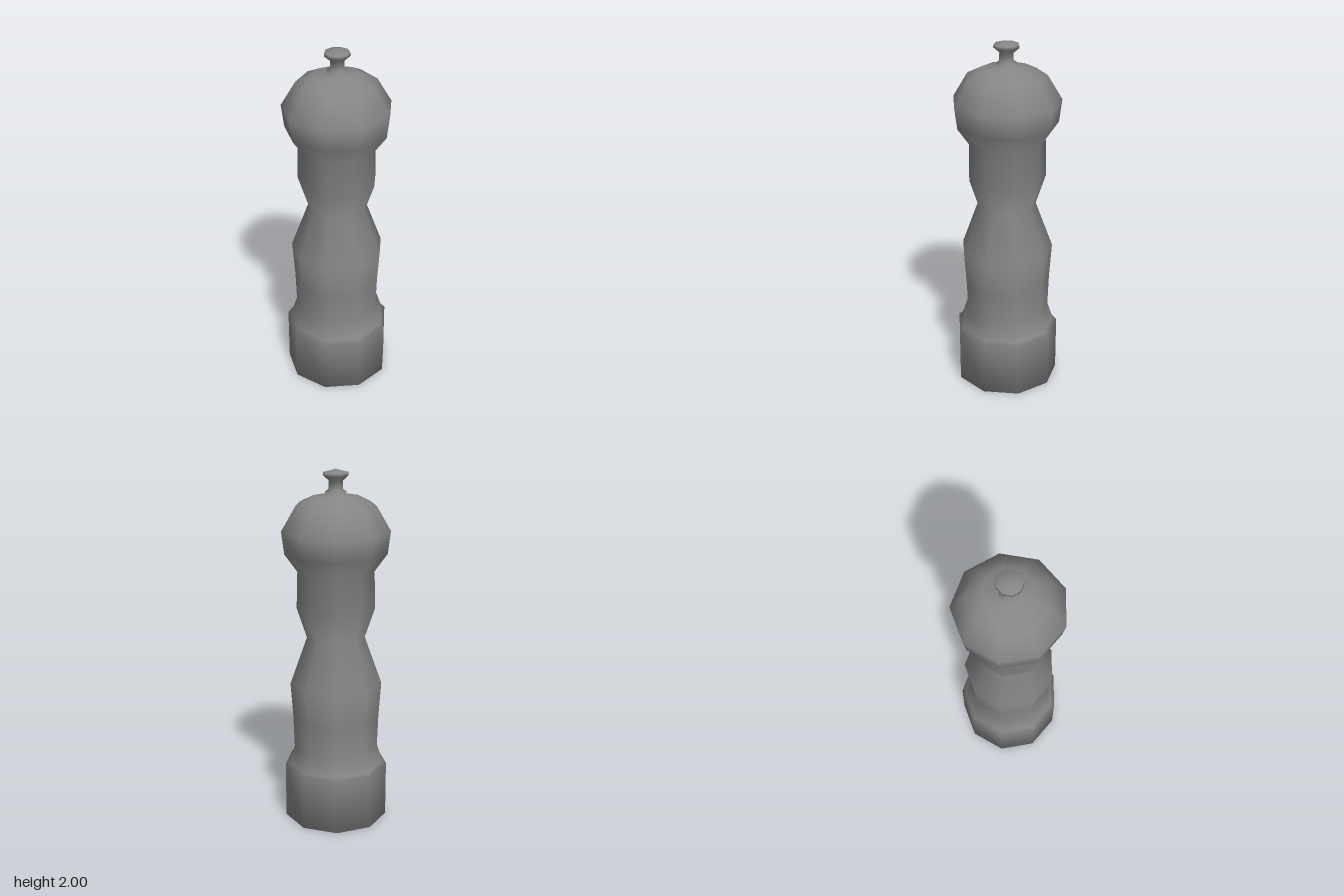
import * as THREE from 'three';
import { mergeVertices } from 'three/addons/utils/BufferGeometryUtils.js';

const SIDES = 9;
const AXIS_X = -0.009; // a nine-sided turning sits slightly off its bounding-box centre
const KNOB_FOOT = 1.855; // rings above this height belong to the knob

// [radius, height] pairs from the bottom up
const PROFILE = [
  [0, 0], [0.293, 0], [0.293, 0.318], [0.273, 0.328], // base and ledge
  [0.239, 0.43], [0.245, 0.61], [0.259, 0.81],        // lower swell
  [0.163, 1.075], [0.219, 1.245], [0.213, 1.45],      // waist and neck
  [0.283, 1.55], [0.299, 1.675], [0.219, 1.81],       // head
  [0.139, 1.85], [0.058, 1.862], [0.057, 1.88],       // crown and knob foot
  [0.039, 1.893], [0.038, 1.937],                     // knob stem
  [0.0706, 1.965], [0.068, 1.982], [0, 2],            // knob cap
];

// Nine-sided turning with a corner towards +x, the knob turned by half a side
function millGeometry() {
  const points = PROFILE.map(([r, y]) => new THREE.Vector2(r, y));
  const lathe = new THREE.LatheGeometry(points, SIDES, Math.PI / 2);
  const position = lathe.attributes.position;
  const turn = new THREE.Matrix4().makeRotationY(Math.PI / SIDES);
  const v = new THREE.Vector3();
  for (let i = 0; i < position.count; i++) {
    v.fromBufferAttribute(position, i);
    if (v.y > KNOB_FOOT) v.applyMatrix4(turn);
    position.setXYZ(i, v.x, v.y, v.z);
  }
  // Weld the seam and poles so the shading runs smoothly over everything
  lathe.deleteAttribute('normal');
  lathe.deleteAttribute('uv');
  const geometry = mergeVertices(lathe, 1e-4);
  geometry.computeVertexNormals();
  return geometry;
}

export function createModel() {
  const group = new THREE.Group();
  group.name = 'pepperMill';

  const mill = new THREE.Mesh(millGeometry(), new THREE.MeshStandardMaterial({ color: 0x868686 }));
  mill.name = 'bodyWithKnob';
  mill.position.x = AXIS_X;
  group.add(mill);

  return group;
}
